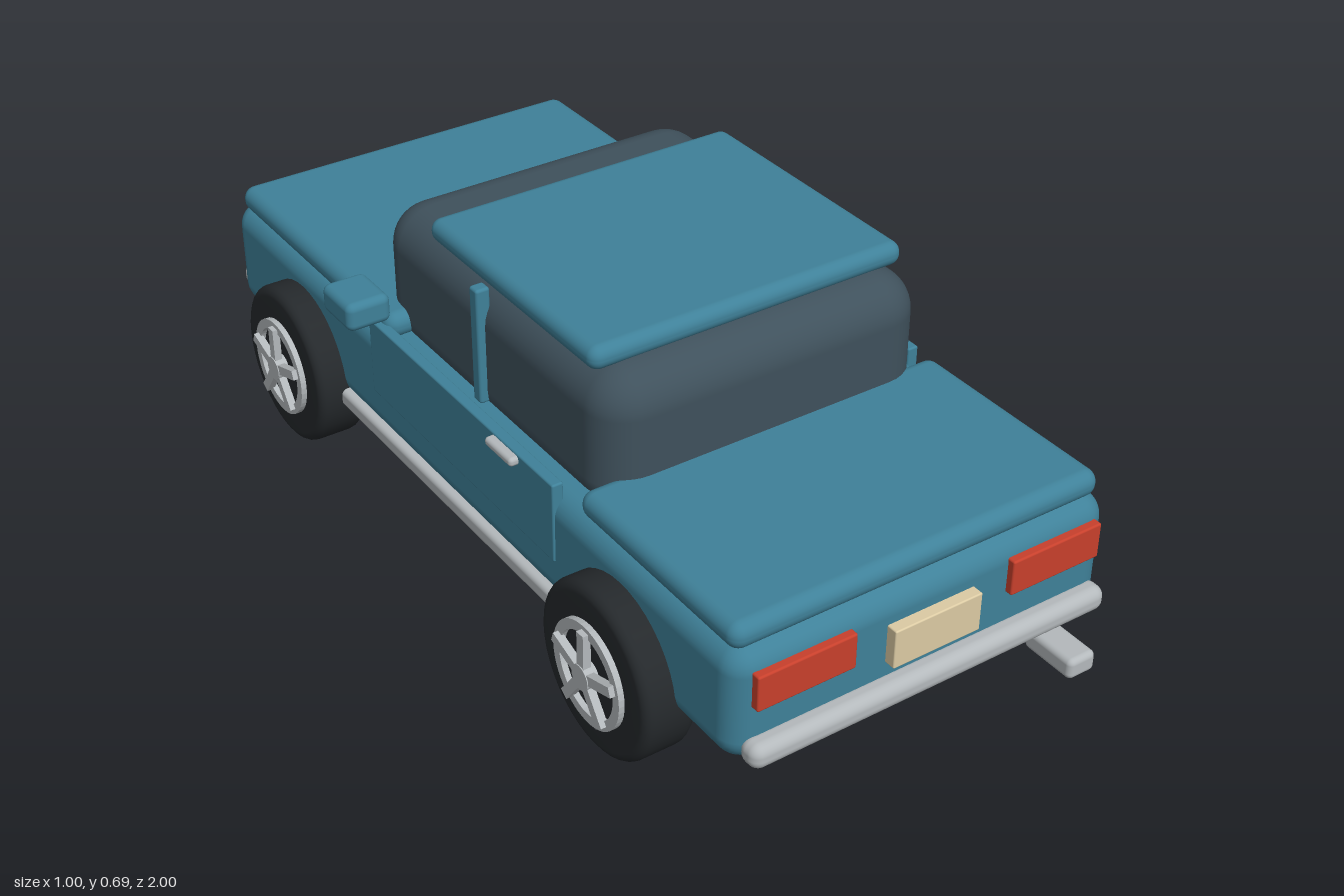
import * as THREE from 'three';
import { RoundedBoxGeometry } from 'three/addons/geometries/RoundedBoxGeometry.js';

const mat = (color) => new THREE.MeshStandardMaterial({ color });
const paint = mat(0x3f8199), glass = mat(0x3f515c), rubber = mat(0x25292c), chrome = mat(0xb4b9bc);
const red = mat(0xc8402c), cream = mat(0xdccba4), dark = mat(0x23282b);

// Rounded box given by its extents on each axis
function block(parent, name, material, [x0, x1], [y0, y1], [z0, z1], radius, segments = 4) {
  const geo = new RoundedBoxGeometry(x1 - x0, y1 - y0, z1 - z0, segments, radius);
  const mesh = new THREE.Mesh(geo, material);
  mesh.position.set((x0 + x1) / 2, (y0 + y1) / 2, (z0 + z1) / 2);
  mesh.name = name;
  parent.add(mesh);
  return mesh;
}

// Same block on both sides of the car
function pair(parent, name, material, [x0, x1], y, z, radius) {
  block(parent, name + 'Left', material, [x0, x1], y, z, radius);
  block(parent, name + 'Right', material, [-x1, -x0], y, z, radius);
}

// Wheel with its axle along y, outer face towards +y
function makeWheel() {
  const wheel = new THREE.Group();
  const add = (name, geo, material) => {
    const mesh = new THREE.Mesh(geo, material);
    mesh.name = name;
    wheel.add(mesh);
    return mesh;
  };

  // Tyre: rounded shoulders, closed faces
  const R = 0.173, h = 0.055, r = 0.02;
  const profile = [new THREE.Vector2(0, -h), new THREE.Vector2(0.1, -h)];
  for (const [cy, start] of [[-h + r, -Math.PI / 2], [h - r, 0]])
    for (let i = 0; i <= 4; i++) {
      const a = start + (i / 4) * Math.PI / 2;
      profile.push(new THREE.Vector2(R - r + r * Math.cos(a), cy + r * Math.sin(a)));
    }
  profile.push(new THREE.Vector2(0.1, h), new THREE.Vector2(0, h));
  add('tyre', new THREE.LatheGeometry(profile, 40), rubber);

  // Rim ring
  const ring = new THREE.Shape().absarc(0, 0, 0.106, 0, Math.PI * 2);
  ring.holes.push(new THREE.Path().absarc(0, 0, 0.086, 0, Math.PI * 2, true));
  const rim = add('rim', new THREE.ExtrudeGeometry(ring, { depth: 0.014, bevelEnabled: false, curveSegments: 24 }), chrome);
  rim.rotation.x = -Math.PI / 2;
  rim.position.y = h - 0.002;

  // Hub and five spokes
  add('hub', new THREE.CylinderGeometry(0.026, 0.026, 0.026, 20), chrome).position.y = h + 0.012;
  for (let i = 0; i < 5; i++) {
    const a = i * Math.PI * 2 / 5;
    const spoke = add('spoke', new THREE.BoxGeometry(0.085, 0.016, 0.021), chrome);
    spoke.position.set(Math.cos(a) * 0.054, h + 0.015, -Math.sin(a) * 0.054);
    spoke.rotation.y = a;
  }
  return wheel;
}

export function createModel() {
  const car = new THREE.Group();
  car.name = 'car';

  // Bodywork; the nose points to -z
  block(car, 'body', paint, [-0.415, 0.415], [0.16, 0.4], [-0.968, 0.903], 0.05);
  block(car, 'hood', paint, [-0.405, 0.405], [0.39, 0.447], [-0.94, -0.27], 0.027);
  block(car, 'rearDeck', paint, [-0.402, 0.402], [0.39, 0.445], [0.41, 0.882], 0.026);
  block(car, 'cabinGlass', glass, [-0.357, 0.357], [0.34, 0.65], [-0.388, 0.447], 0.085, 5);
  block(car, 'roof', paint, [-0.345, 0.345], [0.641, 0.69], [-0.2, 0.378], 0.023);

  // Side details
  pair(car, 'pillar', paint, [0.343, 0.373], [0.4, 0.648], [0, 0.028], 0.006);
  pair(car, 'door', paint, [0.395, 0.419], [0.255, 0.425], [-0.33, 0.355], 0.004);
  pair(car, 'doorHandle', chrome, [0.41, 0.437], [0.402, 0.421], [0.147, 0.24], 0.008);
  pair(car, 'mirror', paint, [0.405, 0.5], [0.454, 0.515], [-0.365, -0.25], 0.016);
  pair(car, 'sill', chrome, [0.385, 0.427], [0.145, 0.185], [-0.52, 0.45], 0.012);

  // Bumpers and exhaust
  block(car, 'rearBumper', chrome, [-0.395, 0.395], [0.172, 0.224], [0.885, 0.938], 0.022);
  block(car, 'frontBumper', chrome, [-0.395, 0.395], [0.172, 0.224], [-1, -0.948], 0.022);
  block(car, 'exhaust', chrome, [0.256, 0.319], [0.11, 0.154], [0.878, 1], 0.012);

  // Lamps and plate
  pair(car, 'tailLight', red, [0.172, 0.378], [0.288, 0.362], [0.885, 0.918], 0.004);
  pair(car, 'headlight', cream, [0.158, 0.372], [0.288, 0.37], [-0.985, -0.95], 0.004);
  block(car, 'rearPlate', cream, [-0.096, 0.096], [0.254, 0.335], [0.89, 0.926], 0.003);

  // Grille with upright slats
  block(car, 'grille', dark, [-0.12, 0.12], [0.288, 0.375], [-0.983, -0.95], 0.003);
  for (let i = 0; i < 6; i++) {
    const x = -0.1 + i * 0.04;
    block(car, 'grilleSlat', dark, [x - 0.009, x + 0.009], [0.295, 0.368], [-0.992, -0.97], 0.003, 2);
  }

  // Wheels
  for (const [end, z] of [['front', -0.635], ['rear', 0.566]])
    for (const [side, s] of [['Left', 1], ['Right', -1]]) {
      const wheel = makeWheel();
      wheel.name = end + 'Wheel' + side;
      wheel.rotation.z = -s * Math.PI / 2;
      wheel.position.set(s * 0.421, 0.173, z);
      car.add(wheel);
    }
  return car;
}
